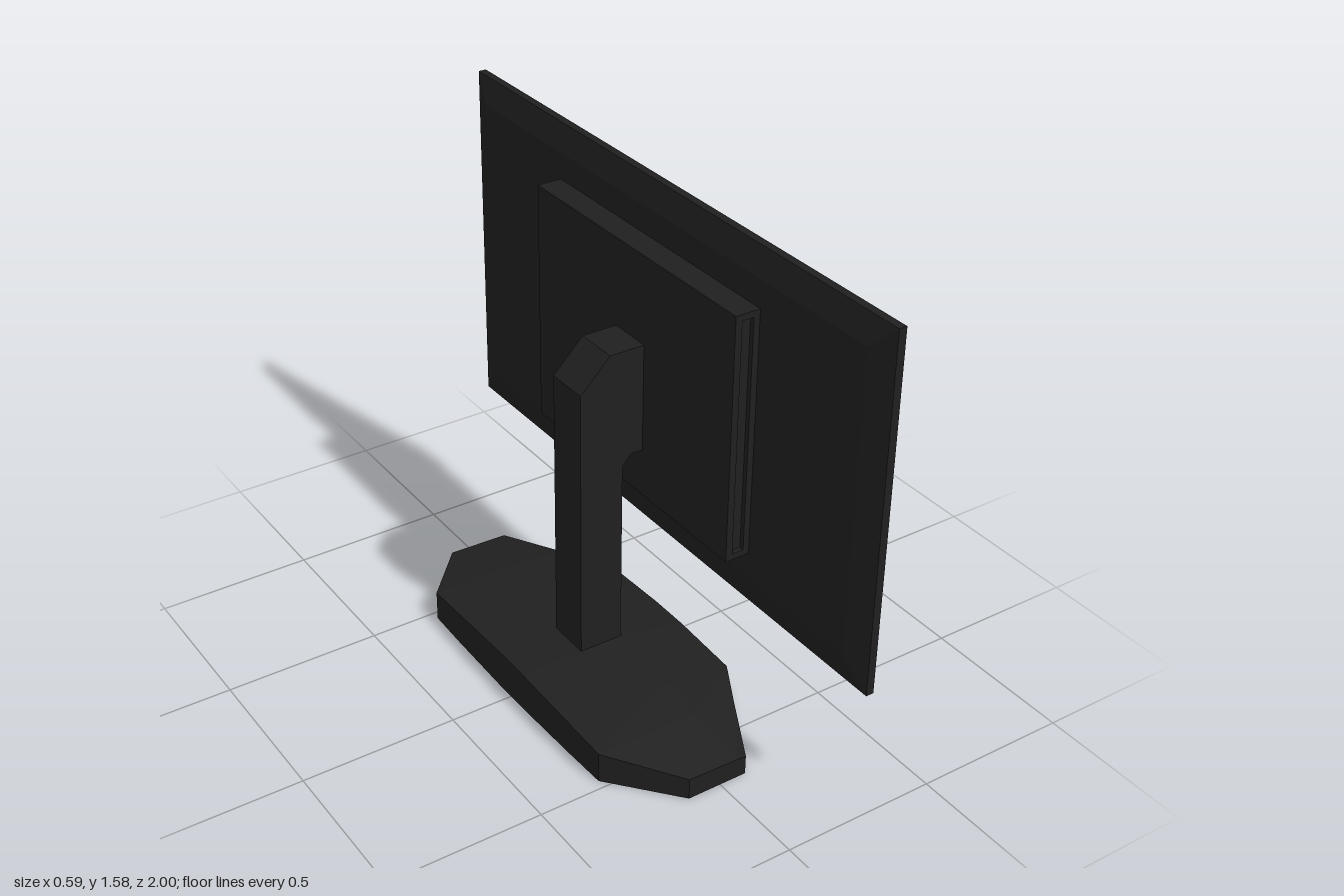
import * as THREE from 'three';

const dark = new THREE.MeshStandardMaterial({ color: 0x202020, flatShading: true });
const black = new THREE.MeshStandardMaterial({ color: 0x080808, flatShading: true });

// Solid through matching cross-section loops, with flat end caps
function loft(sections) {
  const n = sections[0].length, index = [];
  for (let i = 0; i < sections.length - 1; i++) {
    for (let j = 0; j < n; j++) {
      const k = (j + 1) % n, a = i * n + j, b = i * n + k;
      index.push(a, b, b + n, a, b + n, a + n);
    }
  }
  const last = (sections.length - 1) * n;
  for (let j = 1; j < n - 1; j++) index.push(0, j + 1, j, last, last + j, last + j + 1);
  const g = new THREE.BufferGeometry();
  g.setAttribute('position', new THREE.Float32BufferAttribute(sections.flat(2), 3));
  g.setIndex(index);
  const flat = g.toNonIndexed();
  flat.computeVertexNormals();
  return flat;
}

const rectPath = (x0, x1, y0, y1, Type = THREE.Shape) =>
  new Type([[x0, y0], [x1, y0], [x1, y1], [x0, y1]].map(p => new THREE.Vector2(...p)));

export function createModel() {
  const model = new THREE.Group();
  const add = (name, geometry, x = 0, y = 0, z = 0, material = dark) => {
    const mesh = new THREE.Mesh(geometry, material);
    mesh.name = name;
    mesh.position.set(x, y, z);
    model.add(mesh);
    return mesh;
  };

  // Base: half sections [z, back x, back y, ridge y, front x, front y], mirrored in z
  const half = [
    [0.675, -0.11, 0.07, 0.066, 0.09, 0.065],
    [0.47, -0.285, 0.1, 0.098, 0.2, 0.073],
    [0.32, -0.29, 0.113, 0.113, 0.283, 0.078],
    [0.07, -0.295, 0.13, 0.13, 0.292, 0.08],
  ];
  const baseSection = s => ([z, xb, yb, yr, xf, yf]) =>
    [[xb, 0, s * z], [xf, 0, s * z], [xf, yf, s * z], [0.06, yr, s * z], [xb, yb, s * z]];
  add('base', loft([...half.map(baseSection(-1)), ...half.slice().reverse().map(baseSection(1))]));

  // Column with an angled head reaching the housing
  const profile = [[-0.085, 0.1], [0.06, 0.1], [0.06, 0.745], [0.09, 0.78], [0.135, 0.78],
    [0.135, 1.13], [0.015, 1.13], [-0.085, 1.03]];
  add('column', new THREE.ExtrudeGeometry(
    new THREE.Shape(profile.map(p => new THREE.Vector2(...p))),
    { depth: 0.142, bevelEnabled: false }), 0, 0, -0.071);

  // Rear housing, with a shallow pocket in one end and port slots in the other
  const wall = 0.015, x0 = 0.13, x1 = 0.212, y0 = 0.625, y1 = 1.41;
  add('rearHousing', new THREE.BoxGeometry(x1 - x0, y1 - y0, 0.98 - 2 * wall),
    (x0 + x1) / 2, (y0 + y1) / 2, 0);
  const endPlate = (name, holes, z) => {
    const shape = rectPath(x0, x1, y0, y1);
    shape.holes = holes.map(h => rectPath(...h, THREE.Path));
    add(name, new THREE.ExtrudeGeometry(shape, { depth: wall, bevelEnabled: false }), 0, 0, z);
  };
  const ports = [1.33, 1.2, 1.04];
  endPlate('pocketEnd', [[0.152, 0.19, 0.645, 1.39]], 0.49 - wall);
  endPlate('portEnd', ports.map(y => [0.15, 0.192, y - 0.04, y + 0.04]), -0.49);
  for (const y of ports)
    add('port', new THREE.BoxGeometry(0.034, 0.07, 0.008), 0.171, y, -0.478, black);

  // Display: sloped back, straight rim, thin bezel and slightly recessed screen
  const displaySection = ([x, z, ya, yb]) => [[x, ya, -z], [x, yb, -z], [x, yb, z], [x, ya, z]];
  add('display', loft([
    [0.21, 0.92, 0.54, 1.495],
    [0.235, 1, 0.44, 1.575],
    [0.26, 1, 0.44, 1.575],
    [0.26, 0.985, 0.458, 1.56],
    [0.256, 0.985, 0.458, 1.56],
  ].map(displaySection)));

  // Power button on the lower bezel
  add('powerButton', new THREE.SphereGeometry(0.01, 12, 8), 0.26, 0.459, -0.913);

  return model;
}
